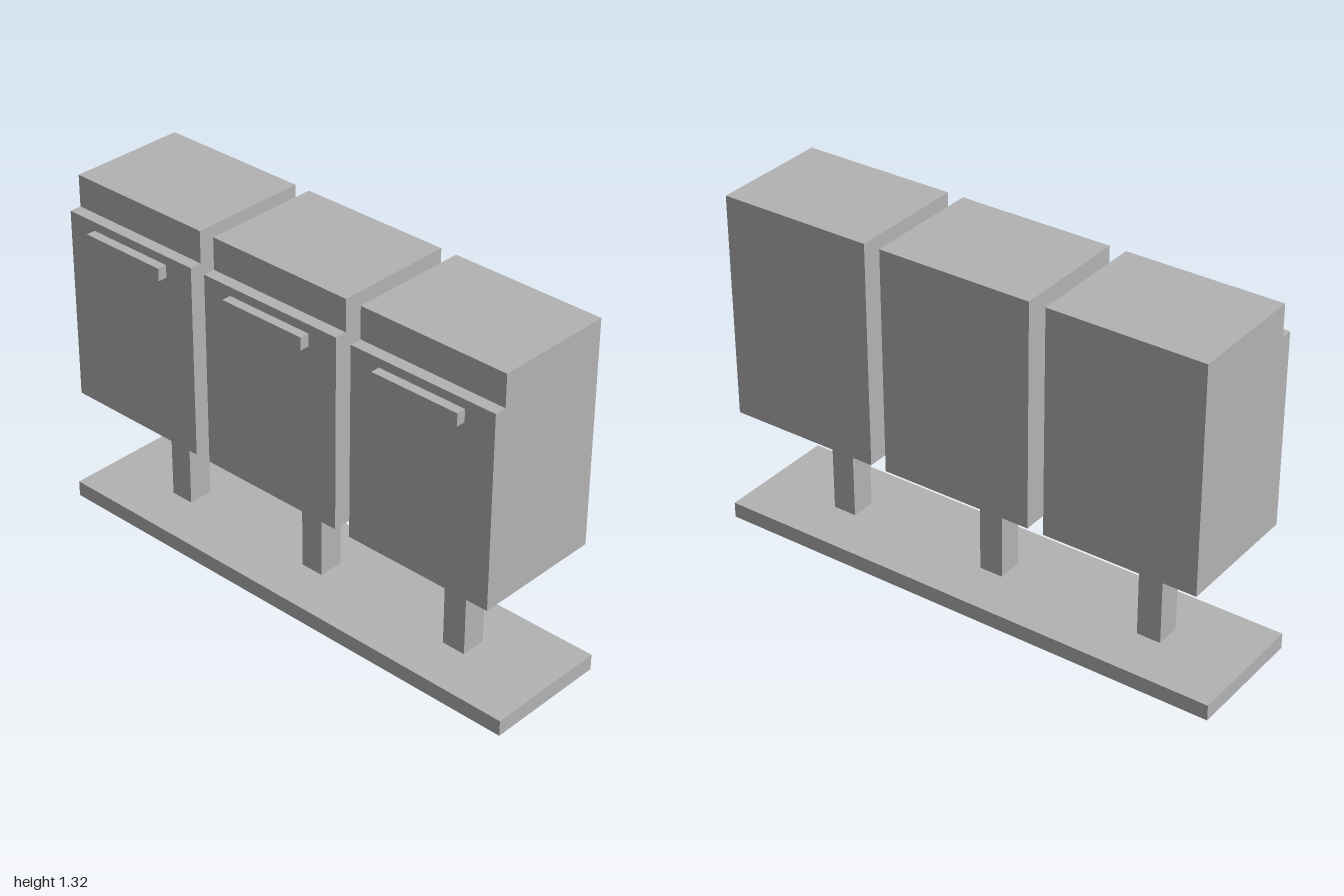
import * as THREE from 'three';

// Removes the faces lying on the lowest plane, leaving a shell open underneath
function openBottom(geometry) {
  const g = geometry.index ? geometry.toNonIndexed() : geometry;
  g.computeBoundingBox();
  const floor = g.boundingBox.min.y + 1e-4;
  const p = g.attributes.position;
  const kept = [];
  for (let i = 0; i < p.count; i += 3) {
    if (Math.max(p.getY(i), p.getY(i + 1), p.getY(i + 2)) > floor) {
      for (let k = i; k < i + 3; k++) kept.push(p.getX(k), p.getY(k), p.getZ(k));
    }
  }
  const shell = new THREE.BufferGeometry();
  shell.setAttribute('position', new THREE.Float32BufferAttribute(kept, 3));
  shell.computeVertexNormals();
  return shell;
}

// Box given by its centre x, width and its y and z ranges
function block(x, width, y0, y1, z0, z1) {
  return new THREE.BoxGeometry(width, y1 - y0, z1 - z0)
    .translate(x, (y0 + y1) / 2, (z0 + z1) / 2);
}

export function createModel() {
  const model = new THREE.Group();
  model.name = 'mailboxRow';

  const grey = new THREE.MeshStandardMaterial({ color: 0xb3b3b3, side: THREE.DoubleSide });
  grey.name = 'grey';

  const add = (parent, name, geometry) => {
    const mesh = new THREE.Mesh(geometry, grey);
    mesh.name = name;
    parent.add(mesh);
  };

  // Shared base, hollow underneath
  add(model, 'base', openBottom(block(0, 2, 0, 0.06, -0.255, 0.218)));

  // Side outline of a cabinet as (z, y), with the step above the front panel
  const width = 0.585;
  const outline = new THREE.Shape([
    [-0.265, 0.473], [0.23, 0.473], [0.23, 1.2],
    [0.185, 1.2], [0.185, 1.32], [-0.265, 1.32],
  ].map(([z, y]) => new THREE.Vector2(z, y)));
  const cabinet = openBottom(
    new THREE.ExtrudeGeometry(outline, { depth: width, bevelEnabled: false })
      .rotateY(-Math.PI / 2)
      .translate(width / 2, 0, 0));

  const post = block(0, 0.092, 0.06, 0.473, -0.064, 0.032);
  const handle = block(0, 0.348, 1.12, 1.167, 0.23, 0.265);

  // Three identical boxes on posts
  for (let i = -1; i <= 1; i++) {
    const unit = new THREE.Group();
    unit.name = ['rightBox', 'middleBox', 'leftBox'][i + 1];
    unit.position.x = -0.003 + i * 0.647;
    add(unit, 'cabinet', cabinet);
    add(unit, 'post', post);
    add(unit, 'handle', handle);
    model.add(unit);
  }

  return model;
}
